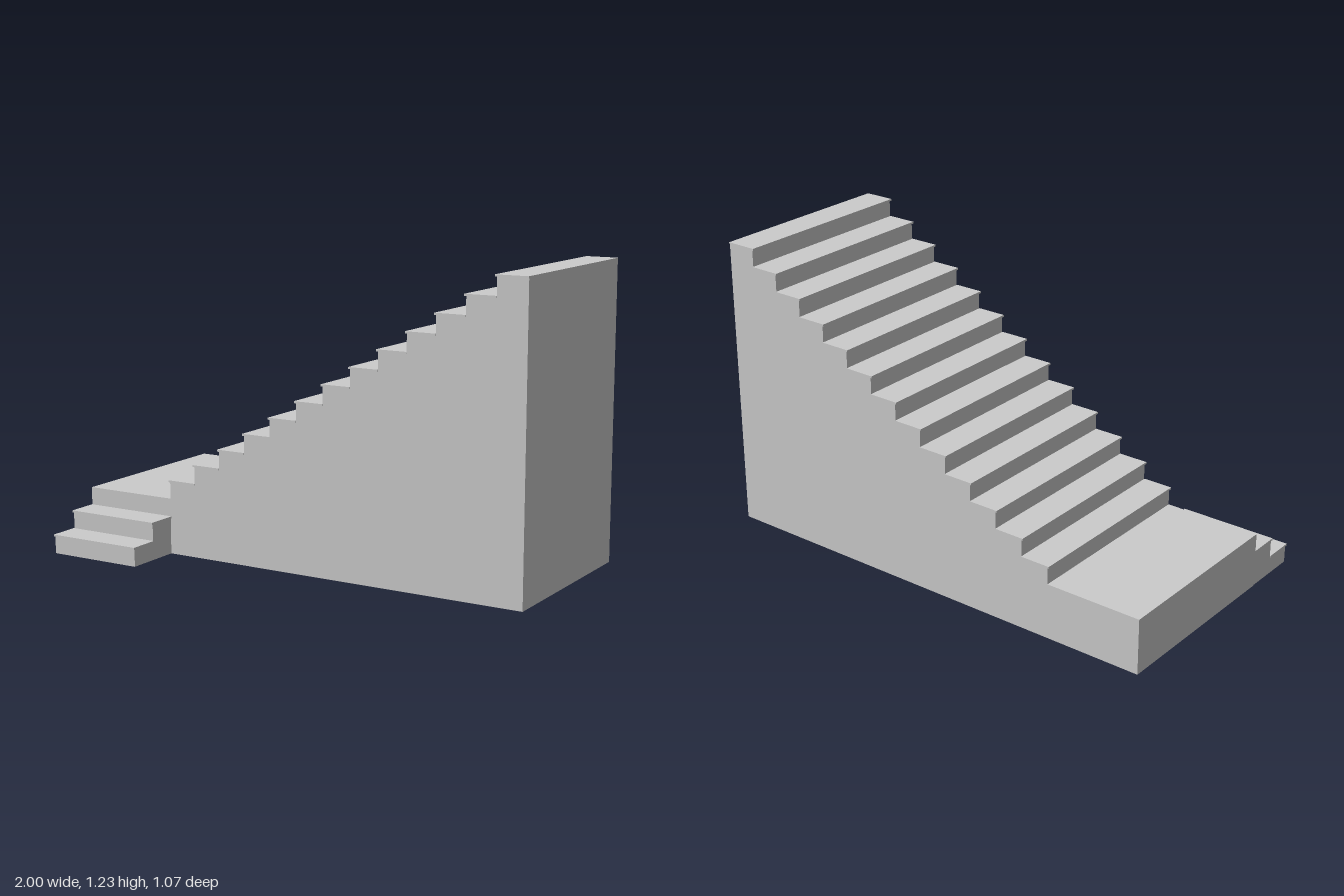
import * as THREE from 'three';

const RISE = 0.0769, RUN = 0.122, TREAD = 0.008, NOSE = 0.007, LIP = 0.003;
const material = new THREE.MeshStandardMaterial({ color: 0xcccccc, flatShading: true });

// A solid flight climbing along +x, with a thin overhanging tread on every step.
// landing: optional [startX, height] of a flat platform before the first riser.
function flight(name, { x0, x1, y0, count, z0, z1, landing }) {
  const group = new THREE.Group();
  group.name = name;
  const points = landing ? [[landing[0], 0], [landing[0], landing[1]], [x0, landing[1]]] : [[x0, 0]];

  for (let i = 0; i < count; i++) {
    const left = x0 + i * RUN;
    const right = i === count - 1 ? x1 : left + RUN;
    const top = y0 + (i + 1) * RISE;
    points.push([left, top - TREAD], [right, top - TREAD]);

    const tread = new THREE.Mesh(
      new THREE.BoxGeometry(right - left + NOSE, TREAD, z1 - z0 + 2 * LIP), material);
    tread.position.set((left - NOSE + right) / 2, top - TREAD / 2, (z0 + z1) / 2);
    tread.name = `tread${i + 1}`;
    group.add(tread);
  }
  points.push([x1, 0]);

  // Solid body under the treads
  const shape = new THREE.Shape(points.map(([x, y]) => new THREE.Vector2(x, y)));
  const geometry = new THREE.ExtrudeGeometry(shape, { depth: z1 - z0, bevelEnabled: false });
  geometry.translate(0, 0, z0);
  const body = new THREE.Mesh(geometry, material);
  body.name = 'solidBase';
  group.add(body);
  return group;
}

export function createModel() {
  const model = new THREE.Group();
  model.name = 'staircase';

  // Main flight rising to the model's left from a square landing
  model.add(flight('mainFlight', {
    x0: -0.59, x1: 1, y0: 0.231, count: 13, z0: -0.532, z1: 0.283, landing: [-1, 0.231],
  }));

  // Two entry steps in front of the landing, climbing toward the back
  const entry = flight('entrySteps', {
    x0: -0.528, x1: -0.283, y0: 0.003, count: 2, z0: -0.998, z1: -0.59,
  });
  entry.rotation.y = Math.PI / 2;
  model.add(entry);

  return model;
}
